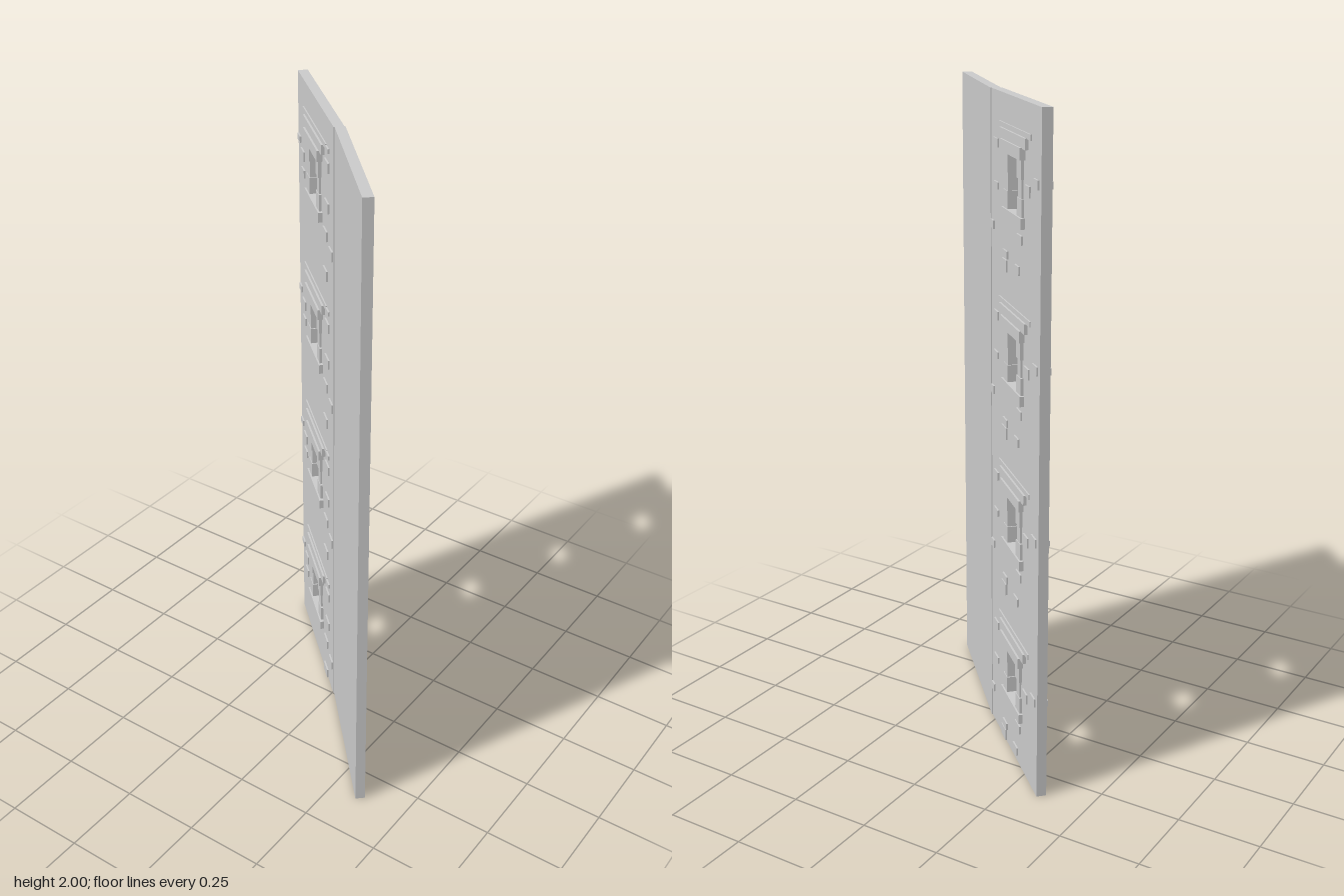
import * as THREE from 'three';

const T = 0.03; // wall thickness
const STOREY = 0.5;

export function createModel() {
  const root = new THREE.Group();
  root.name = 'cornerWall';
  const mat = new THREE.MeshStandardMaterial({ color: 0xcccccc, flatShading: true });

  // box given by its edges along the wall, its heights and its depth range
  const block = (parent, name, x0, x1, y0, y1, z0, z1) => {
    const m = new THREE.Mesh(new THREE.BoxGeometry(x1 - x0, y1 - y0, z1 - z0), mat);
    m.position.set((x0 + x1) / 2, (y0 + y1) / 2, (z0 + z1) / 2);
    m.name = name;
    parent.add(m);
  };

  // plain wall
  const plain = new THREE.Group();
  plain.name = 'plainWall';
  plain.position.set(0.1835, 0, 0.1685);
  plain.rotation.y = -0.828;
  block(plain, 'plainPanel', -0.25, 0.25, 0, 2, -T / 2, T / 2);
  root.add(plain);

  // wall with four window openings
  const windowed = new THREE.Group();
  windowed.name = 'windowWall';
  windowed.position.set(-0.17, 0, -0.183);
  windowed.rotation.y = -0.748;
  root.add(windowed);

  const rect = (s, x0, x1, y0, y1) =>
    s.moveTo(x0, y0).lineTo(x1, y0).lineTo(x1, y1).lineTo(x0, y1).closePath();
  const shape = rect(new THREE.Shape(), -0.25, 0.25, 0, 2);
  for (let i = 0; i < 4; i++) {
    shape.holes.push(rect(new THREE.Path(), -0.055, 0.055, i * STOREY + 0.17, i * STOREY + 0.36));
  }
  const panelGeo = new THREE.ExtrudeGeometry(shape, { depth: T, bevelEnabled: false });
  panelGeo.translate(0, 0, -T / 2);
  const panel = new THREE.Mesh(panelGeo, mat);
  panel.name = 'windowPanel';
  windowed.add(panel);

  // stepped stones above and below the opening: half width, bottom, top, half depth
  const courses = [
    ['sill', 0.1, 0.16, 0.19, 0.028],
    ['lintel', 0.1, 0.345, 0.378, 0.031],
    ['upperLintel', 0.13, 0.376, 0.406, 0.025],
    ['cornice', 0.16, 0.404, 0.42, 0.019],
  ];
  // jamb stones: bottom, top, inner edge, outer edge, half depth
  const jamb = [
    [0.188, 0.24, 0.046, 0.088, 0.023],
    [0.24, 0.292, 0.05, 0.08, 0.021],
    [0.292, 0.347, 0.045, 0.086, 0.024],
  ];
  // raised wall stones: centre along wall, centre height, width, height
  const frontStones = [
    [0.17, 0.36, 0.05, 0.03], [0.17, 0.24, 0.05, 0.03], [0.148, 0.145, 0.05, 0.03],
    [0.223, 0.115, 0.045, 0.03], [0.148, 0.02, 0.05, 0.032], [0.175, 0.41, 0.04, 0.014],
    [-0.225, 0.3, 0.035, 0.02], [-0.175, 0.265, 0.045, 0.03], [-0.17, 0.21, 0.04, 0.025],
  ];
  const backStones = [
    [0.19, 0.355, 0.045, 0.025], [0.19, 0.235, 0.045, 0.02], [0.23, 0.115, 0.03, 0.025],
    [0.1, 0.022, 0.05, 0.035], [0.09, 0.055, 0.045, 0.022], [-0.03, 0.035, 0.045, 0.025],
    [-0.055, 0.125, 0.05, 0.025], [-0.13, 0.268, 0.045, 0.03], [-0.21, 0.3, 0.045, 0.025],
  ];

  for (let i = 0; i < 4; i++) {
    const storey = new THREE.Group();
    storey.name = 'storey' + (i + 1);
    storey.position.y = i * STOREY;
    for (const [name, w, y0, y1, d] of courses) block(storey, name, -w, w, y0, y1, -d, d);
    for (const [y0, y1, inner, outer, d] of jamb) {
      block(storey, 'leftJamb', inner, outer, y0, y1, -d, d);
      block(storey, 'rightJamb', -outer - 0.003, -inner, y0, y1, -d, d);
    }
    for (const [x, y, w, h] of frontStones)
      block(storey, 'frontStone', x - w / 2, x + w / 2, y - h / 2, y + h / 2, 0, 0.02);
    for (const [x, y, w, h] of backStones)
      block(storey, 'backStone', x - w / 2, x + w / 2, y - h / 2, y + h / 2, -0.02, 0);
    windowed.add(storey);
  }
  return root;
}
